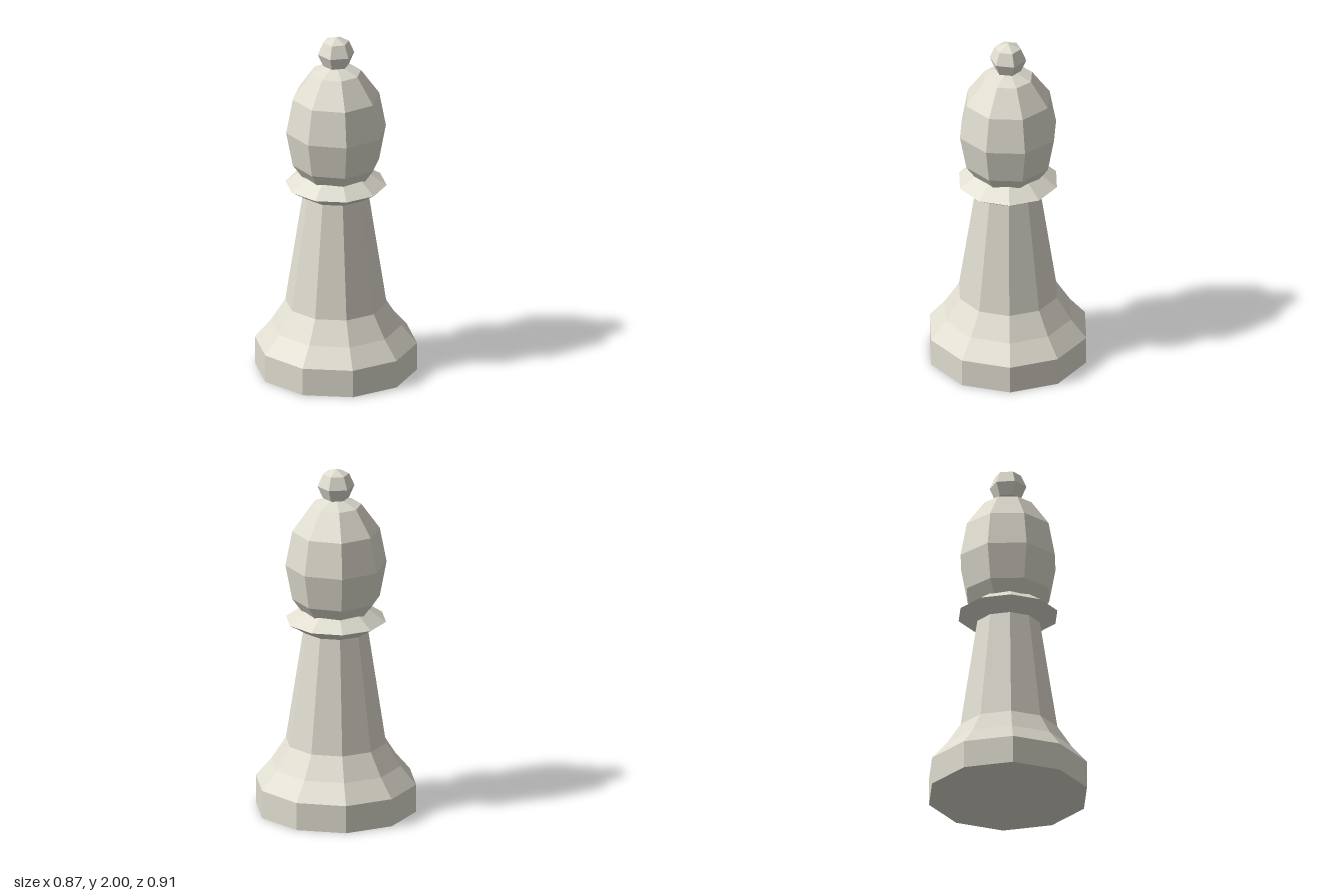
import * as THREE from 'three';

const ivory = new THREE.MeshStandardMaterial({ color: 0xe0ddd0, flatShading: true });

// Faceted turned part from [radius, height] pairs, listed bottom to top
function turned(name, profile, sides) {
  const points = profile.map(([r, y]) => new THREE.Vector2(r, y));
  const mesh = new THREE.Mesh(new THREE.LatheGeometry(points, sides), ivory);
  mesh.name = name;
  return mesh;
}

// Low-poly ball, stretched vertically, with corners on the x axis
function ball(name, radius, halfHeight, y, sides, rings) {
  const geometry = new THREE.SphereGeometry(radius, sides, rings);
  geometry.scale(1, halfHeight / radius, 1);
  const mesh = new THREE.Mesh(geometry, ivory);
  mesh.name = name;
  mesh.position.y = y;
  return mesh;
}

export function createModel() {
  const group = new THREE.Group();
  group.name = 'chessBishop';

  // Ten-sided foot, flare and tapering stem
  group.add(turned('base', [[0, 0], [0.456, 0], [0.456, 0.16]], 10));
  group.add(turned('flare', [[0.456, 0.16], [0.367, 0.265], [0.285, 0.395]], 10));
  group.add(turned('stem', [[0.285, 0.395], [0.184, 1.05]], 10));

  // Sharp-edged collar
  group.add(turned('collar', [[0.184, 1.05], [0.285, 1.112], [0.184, 1.18], [0, 1.18]], 10));

  // Eight-sided head sunk into the collar, with a six-sided knob on top
  group.add(ball('head', 0.285, 0.4, 1.44, 8, 6));
  group.add(ball('knob', 0.104, 0.1, 1.9, 6, 4));

  return group;
}
